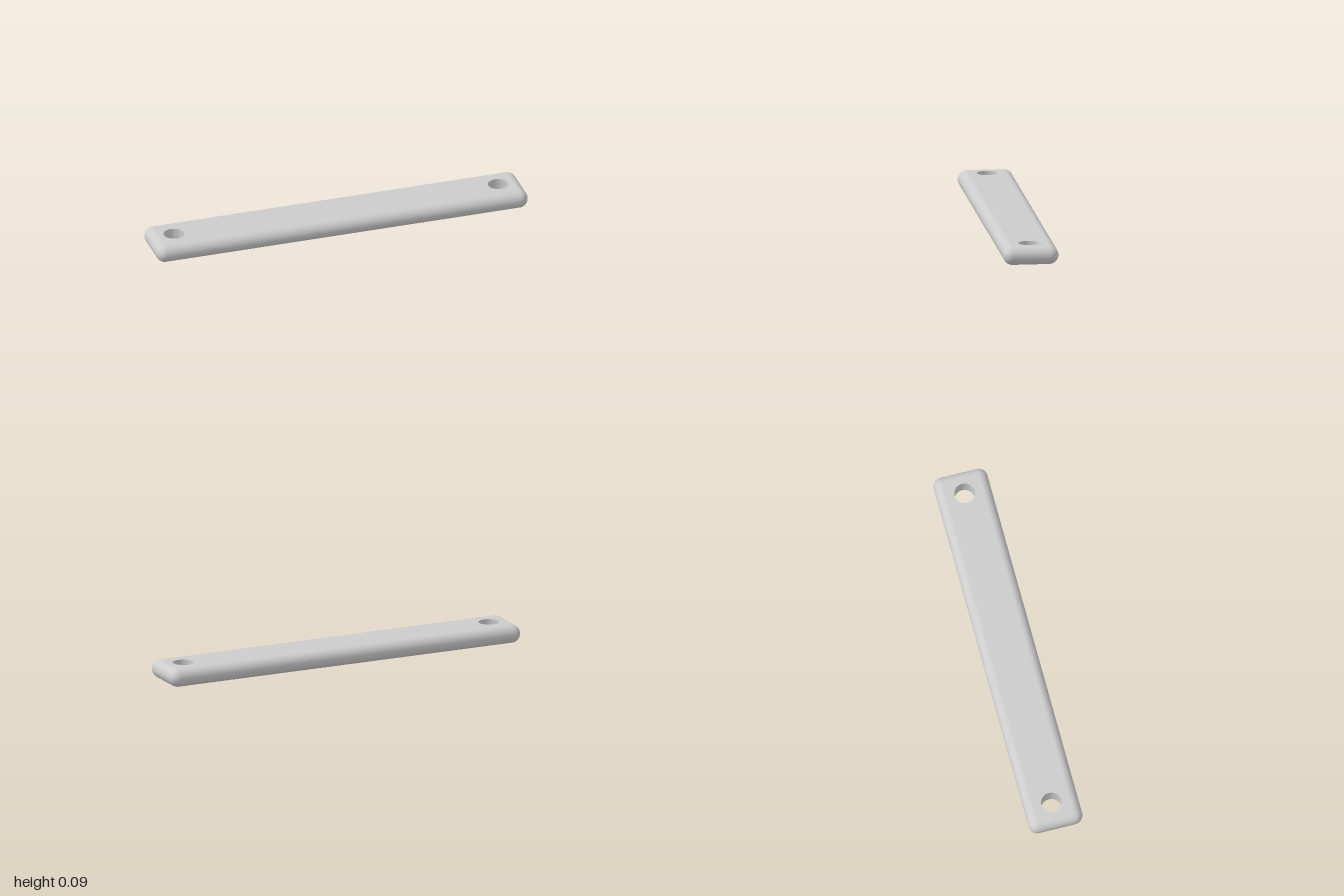
import * as THREE from 'three';

const HX = 1, HZ = 0.1425, R = 0.0475;      // half length, half width, edge radius
const HOLE_X = 0.873, HOLE_R = 0.053;
const IX = HX - R, IZ = HZ - R;             // flat area inside the rounded edge

// Half-round edge swept round the rectangle, with spherical corners
function rimGeometry(cornerSteps = 12, arcSteps = 24) {
  const corners = [[IX, IZ], [-IX, IZ], [-IX, -IZ], [IX, -IZ]];
  const pos = [], nor = [], index = [];
  const columns = 4 * (cornerSteps + 1), row = arcSteps + 1;
  corners.forEach(([cx, cz], c) => {
    for (let s = 0; s <= cornerSteps; s++) {
      const phi = (c + s / cornerSteps) * Math.PI / 2;
      for (let j = 0; j <= arcSteps; j++) {
        const theta = (j / arcSteps - 0.5) * Math.PI;
        const n = [Math.cos(theta) * Math.cos(phi), Math.sin(theta), Math.cos(theta) * Math.sin(phi)];
        nor.push(...n);
        pos.push(cx + R * n[0], R + R * n[1], cz + R * n[2]);
      }
    }
  });
  for (let i = 0; i < columns; i++) {
    for (let j = 0; j < arcSteps; j++) {
      const a = i * row + j, b = ((i + 1) % columns) * row + j;
      index.push(a, a + 1, b, b, a + 1, b + 1);
    }
  }
  const geo = new THREE.BufferGeometry();
  geo.setAttribute('position', new THREE.Float32BufferAttribute(pos, 3));
  geo.setAttribute('normal', new THREE.Float32BufferAttribute(nor, 3));
  geo.setIndex(index);
  return geo;
}

// Flat rectangle pierced by the two holes
function faceGeometry() {
  const shape = new THREE.Shape([
    new THREE.Vector2(-IX, -IZ), new THREE.Vector2(IX, -IZ),
    new THREE.Vector2(IX, IZ), new THREE.Vector2(-IX, IZ),
  ]);
  for (const side of [-1, 1]) {
    shape.holes.push(new THREE.Path().absarc(side * HOLE_X, 0, HOLE_R, 0, Math.PI * 2, true));
  }
  return new THREE.ShapeGeometry(shape, 24);
}

export function createModel() {
  const group = new THREE.Group();
  group.name = 'drilledBar';
  const grey = new THREE.MeshStandardMaterial({ color: 0xcccccc });
  const wall = new THREE.MeshStandardMaterial({ color: 0xcccccc, side: THREE.DoubleSide });
  const add = (name, geo, material = grey) => {
    const mesh = new THREE.Mesh(geo, material);
    mesh.name = name;
    group.add(mesh);
    return mesh;
  };

  add('roundedEdge', rimGeometry());
  add('topFace', faceGeometry().rotateX(-Math.PI / 2).translate(0, 2 * R, 0));
  add('bottomFace', faceGeometry().rotateX(Math.PI / 2));

  // Hole walls
  for (const [name, side] of [['rightHole', -1], ['leftHole', 1]]) {
    const hole = add(name, new THREE.CylinderGeometry(HOLE_R, HOLE_R, 2 * R, 48, 1, true), wall);
    hole.position.set(side * HOLE_X, R, 0);
  }
  return group;
}
